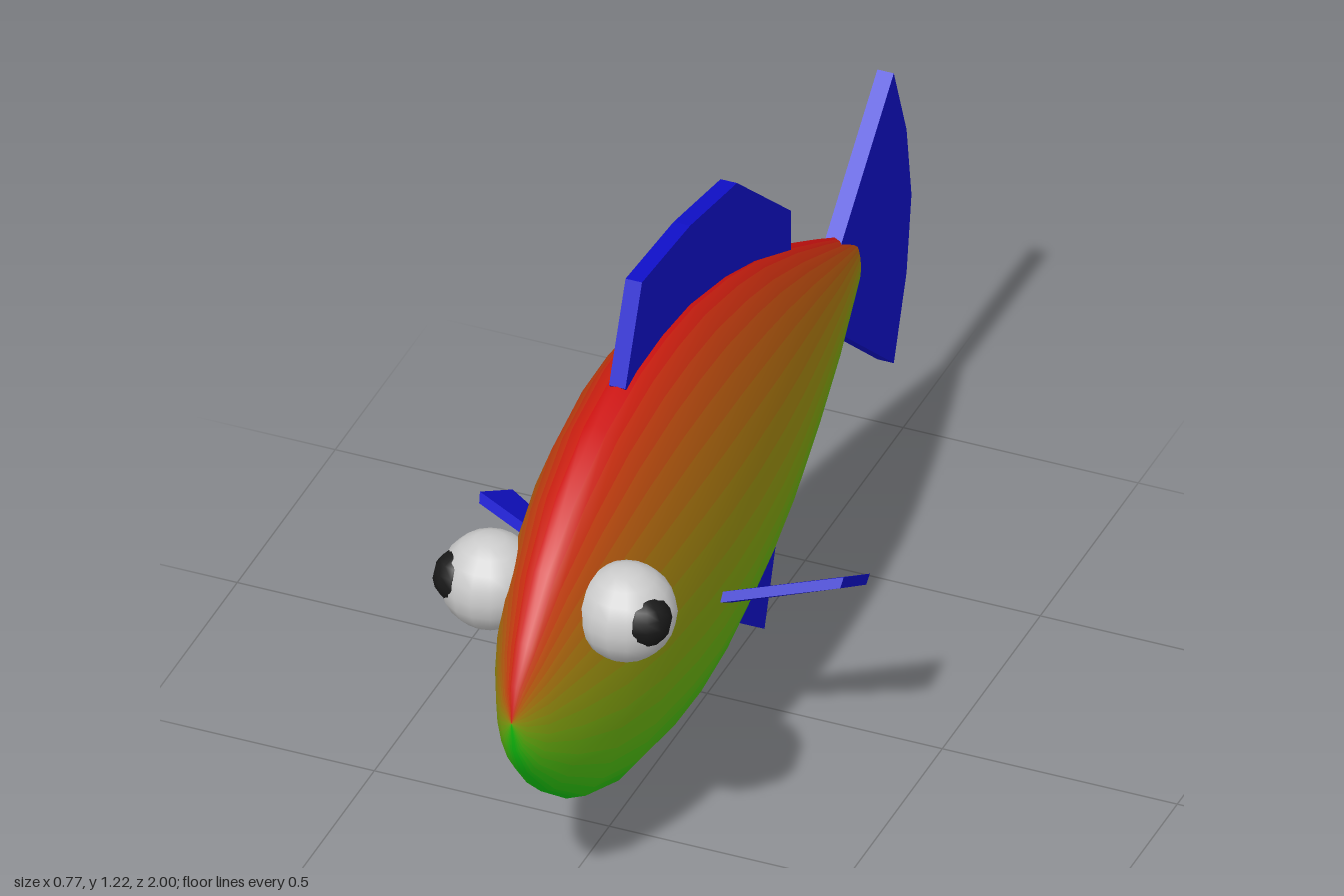
import * as THREE from 'three';
import { ConvexGeometry } from 'three/addons/geometries/ConvexGeometry.js';

const paint = (color) => new THREE.MeshStandardMaterial({ color });
const RED = new THREE.Color(0xcc1010), GREEN = new THREE.Color(0x10cc10);
const blue = paint(0x1010cc), grey = paint(0xcccccc), black = paint(0x191919);

function add(parent, name, geometry, material) {
  const mesh = new THREE.Mesh(geometry, material);
  mesh.name = name;
  parent.add(mesh);
  return mesh;
}

// Body cross-sections from nose to tail: z, top y, bottom y
const SECTIONS = [
  [1, 0.56, 0.56], [0.985, 0.64, 0.485], [0.94, 0.715, 0.405], [0.85, 0.83, 0.305],
  [0.72, 0.93, 0.205], [0.57, 1.0, 0.145], [0.4, 1.033, 0.119], [0.27, 1.035, 0.115],
  [0.13, 1.02, 0.13], [-0.05, 0.972, 0.172], [-0.2, 0.915, 0.225], [-0.39, 0.822, 0.31],
  [-0.56, 0.727, 0.395], [-0.725, 0.63, 0.495],
];
const COLUMNS = 40, WIDTH = 0.37;

// Elliptical body, shaded smoothly and split lengthwise into bands from red to green
function makeBody() {
  const body = new THREE.Group();
  body.name = 'body';
  const positions = [], index = [];
  for (const [z, top, bottom] of SECTIONS) {
    const h = (top - bottom) / 2, mid = (top + bottom) / 2;
    for (let j = 0; j < COLUMNS; j++) {
      const a = (j / COLUMNS) * Math.PI * 2;
      // odd columns lie on the straight edges of a 20-sided ring
      const r = j % 2 ? h * Math.cos(Math.PI / 20) : h;
      positions.push(r * WIDTH * Math.sin(a), mid + r * Math.cos(a), z);
    }
  }
  const columns = [];
  for (let j = 0; j < COLUMNS; j++) {
    const column = [], k = (j + 1) % COLUMNS;
    for (let i = 0; i < SECTIONS.length - 1; i++) {
      const p = i * COLUMNS, q = p + COLUMNS;
      if (i > 0) column.push(p + j, p + k, q + j);
      column.push(p + k, q + k, q + j);
    }
    columns.push(column);
    index.push(...column);
  }
  const whole = new THREE.BufferGeometry();
  whole.setAttribute('position', new THREE.Float32BufferAttribute(positions, 3));
  whole.setIndex(index);
  whole.computeVertexNormals();
  for (let j = 0; j < COLUMNS / 2; j++) {
    const band = whole.clone();
    band.setIndex([...columns[j], ...columns[COLUMNS - 1 - j]]);
    const t = (1 - Math.cos(((j + 0.5) / COLUMNS) * Math.PI * 2)) / 2;
    add(body, 'bodyBand' + (j + 1), band.toNonIndexed(), paint(RED.clone().lerp(GREEN, t)));
  }
  // Flat end of the body at the tail
  const [z, top, bottom] = SECTIONS[SECTIONS.length - 1];
  const cap = add(body, 'bodyEnd', new THREE.CircleGeometry((top - bottom) / 2, 20), paint(RED.clone().lerp(GREEN, 0.5)));
  cap.scale.x = WIDTH;
  cap.rotation.y = Math.PI;
  cap.position.set(0, (top + bottom) / 2, z);
  return body;
}

// Flat upright fin on the centre line, outlined in (z, y)
function uprightFin(outline) {
  const shape = new THREE.Shape(outline.map(([z, y]) => new THREE.Vector2(z, y)));
  const depth = 0.035;
  return new THREE.ExtrudeGeometry(shape, { depth, bevelEnabled: false })
    .translate(0, 0, -depth / 2).rotateY(-Math.PI / 2);
}

// Tilted side fin: four upper corners and the same four set lower
function sideFin(side) {
  const corners = [[0.1, 0.473, 0.339], [0.387, 0.525, 0.232], [0.38, 0.437, 0.082], [0.1, 0.428, 0.268]];
  const points = corners.flatMap(([x, y, z]) => [
    new THREE.Vector3(side * x, y, z),
    new THREE.Vector3(side * (x - 0.003), y - 0.02, z + 0.011),
  ]);
  return new ConvexGeometry(points);
}

export function createModel() {
  const fish = new THREE.Group();
  fish.name = 'fish';
  fish.add(makeBody());

  add(fish, 'backFin', uprightFin([[0.46, 1.02], [0.375, 1.22], [0.13, 1.2], [-0.11, 1.15],
    [-0.385, 0.91], [-0.385, 0.78], [0, 0.9], [0.4, 0.95]]), blue);
  add(fish, 'tailFin', uprightFin([[-0.52, 0.56], [-0.91, 0.905], [-0.975, 0.73], [-1, 0.56],
    [-0.975, 0.39], [-0.91, 0.215]]), blue);
  add(fish, 'bellyFin', uprightFin([[0.02, 0.2], [-0.25, 0], [-0.37, 0.34], [-0.2, 0.4]]), blue);

  for (const [side, label] of [[1, 'left'], [-1, 'right']]) {
    add(fish, label + 'SideFin', sideFin(side), blue);
    add(fish, label + 'Eye', new THREE.SphereGeometry(0.101, 16, 10), grey).position.set(side * 0.145, 0.715, 0.76);
    add(fish, label + 'Pupil', new THREE.SphereGeometry(0.056, 12, 8), black).position.set(side * 0.195, 0.728, 0.79);
  }
  return fish;
}
